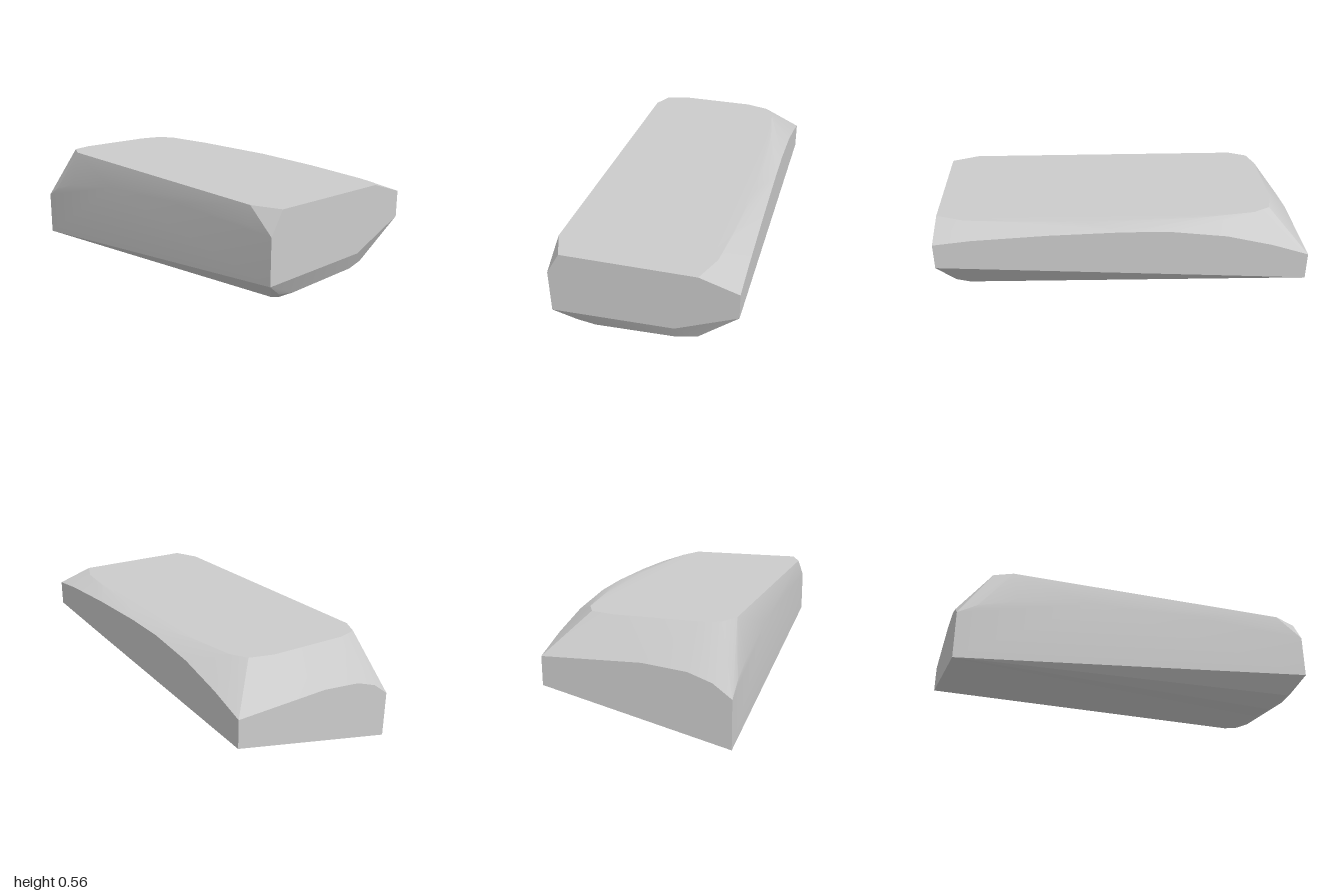
import * as THREE from 'three';
import { ConvexGeometry } from 'three/addons/geometries/ConvexGeometry.js';
import { toCreasedNormals } from 'three/addons/utils/BufferGeometryUtils.js';

const W = 0.48, TOP = 0.565;

export function createModel() {
  const points = [];
  const add = (list, toPoint) => list.forEach((p) => points.push(new THREE.Vector3(...toPoint(p))));

  // flat top outline, as x, z
  add([
    [-0.41, 1], [-0.47, 0.85], [-0.43, -0.72], [-0.38, -0.82], [-0.27, -0.85], [0.16, -0.845],
    [0.29, -0.81], [0.34, -0.72], [0.38, -0.45], [0.4, -0.1], [0.395, 0.2], [0.37, 0.6], [0.34, 0.85], [0.28, 1],
  ], ([x, z]) => [x, TOP, z]);

  // upright left face, as z, y
  add([
    [1, 0.36], [-1, 0.22], [1, 0.5], [0.8, 0.52], [0.4, 0.538], [0, 0.545],
    [-0.25, 0.538], [-0.55, 0.5], [-0.8, 0.437], [-1, 0.37],
  ], ([z, y]) => [W, y, z]);

  // upright right face, as z, y
  add([
    [1, 0.205], [-1, 0], [-1, 0.25], [-0.9, 0.31], [-0.7, 0.37], [-0.3, 0.43], [0.3, 0.465], [0.85, 0.47], [1, 0.445],
  ], ([z, y]) => [-W, y, z]);

  // arched upper edge of the back face, as x, y
  add([[-0.385, 0.32], [-0.265, 0.362], [-0.04, 0.385]], ([x, y]) => [x, y, -1]);

  // lower front edge and the bevels under it
  add([
    [0.16, 0.222, 1],
    [0.265, 0.14, 0.94], [0.16, 0.127, 0.955], [-0.27, 0.11, 0.955], [-0.37, 0.125, 0.955],
    [0.28, 0.131, 0.86], [0.16, 0.093, 0.86], [-0.27, 0.055, 0.86], [-0.385, 0.105, 0.92],
  ], (p) => p);

  const stone = new THREE.Mesh(
    toCreasedNormals(new ConvexGeometry(points), 0.3),
    new THREE.MeshStandardMaterial({ color: 0xcccccc }),
  );
  stone.name = 'stoneSlab';

  const group = new THREE.Group();
  group.name = 'stone';
  group.add(stone);
  return group;
}
